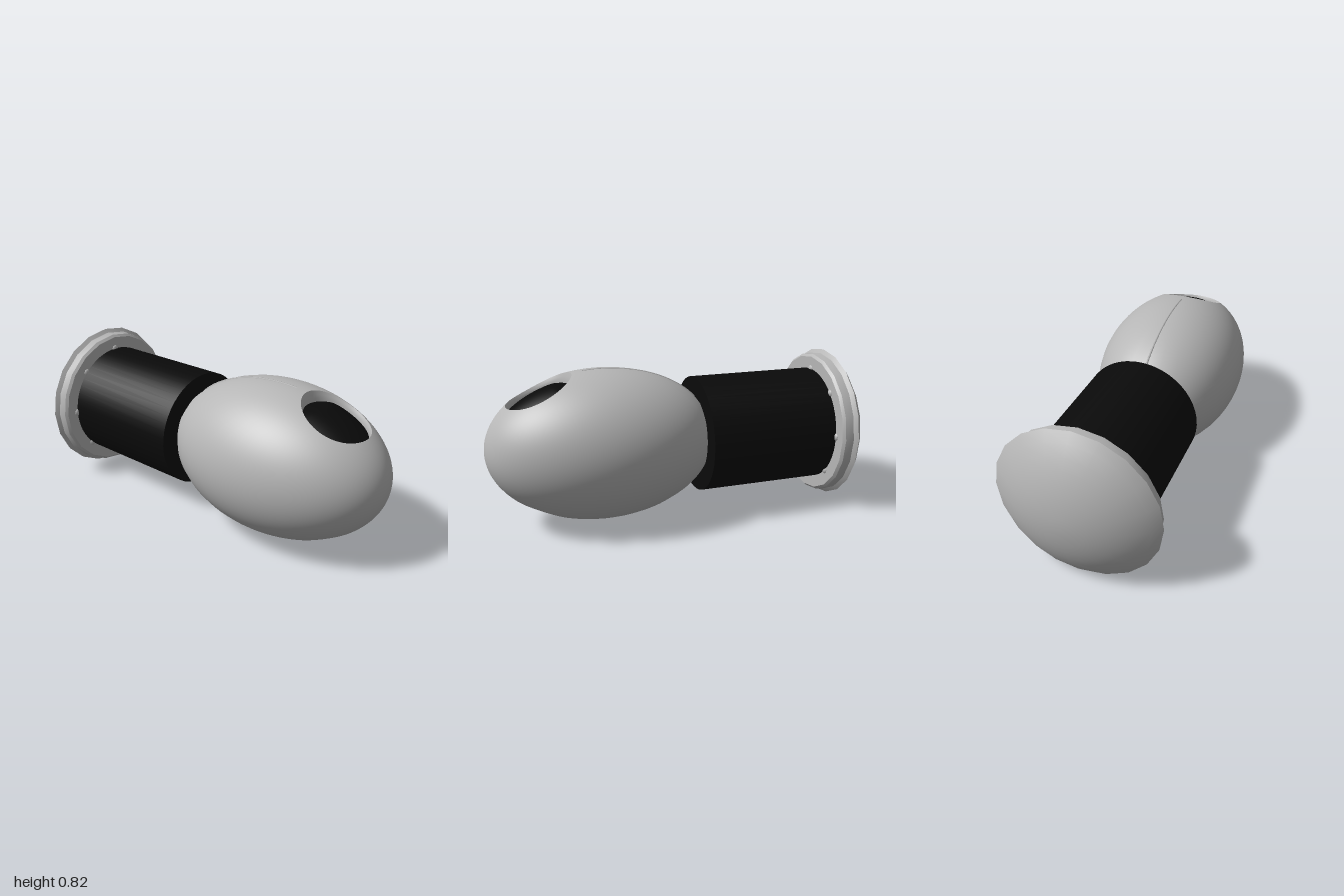
import * as THREE from 'three';
import { toCreasedNormals } from 'three/addons/utils/BufferGeometryUtils.js';

const AXIS_Y = 0.408;          // height of the long axis
const A = 0.386, B = 0.59;     // ellipsoid radii: across, along z
const CZ = 0.41;               // ellipsoid centre
const HOLE_Z = 0.72, HOLE_R = 0.163;

// Height of the ellipsoid above the axis
const heightAt = (x, z, a = A, b = B) =>
  a * Math.sqrt(Math.max(0, 1 - (x / a) ** 2 - ((z - CZ) / b) ** 2));

// Closed polar grid around the hole; point(t, sin, cos) gives [x, y, z]
function polarGrid(rings, segments, point, normal) {
  const pos = [], idx = [];
  for (let j = 0; j < segments; j++) {
    const ang = (j / segments) * Math.PI * 2;
    for (let i = 0; i <= rings; i++) pos.push(...point(i / rings, Math.sin(ang), Math.cos(ang)));
  }
  const n = rings + 1;
  for (let j = 0; j < segments; j++) {
    for (let i = 0; i < rings; i++) {
      const a = j * n + i, c = ((j + 1) % segments) * n + i;
      idx.push(a, a + 1, c, a + 1, c + 1, c);
    }
  }
  const geo = new THREE.BufferGeometry();
  geo.setAttribute('position', new THREE.Float32BufferAttribute(pos, 3));
  geo.setIndex(idx);
  geo.computeVertexNormals();
  if (normal) {
    const p = geo.attributes.position, v = new THREE.Vector3();
    for (let i = 0; i < p.count; i++) {
      v.set(...normal(p.getX(i), p.getY(i), p.getZ(i))).normalize();
      geo.attributes.normal.setXYZ(i, v.x, v.y, v.z);
    }
  }
  return geo;
}

export function createModel() {
  const grey = new THREE.MeshStandardMaterial({ color: 0xb6b6b6 });
  grey.name = 'light grey';
  const black = new THREE.MeshStandardMaterial({ color: 0x0a0a0a });
  black.name = 'black';

  const model = new THREE.Group();
  model.name = 'model';
  const body = new THREE.Group();
  body.position.y = AXIS_Y;
  model.add(body);
  body.name = 'body';
  const add = (parent, name, geo, mat) => {
    const mesh = new THREE.Mesh(geo, mat);
    mesh.name = name;
    parent.add(mesh);
    return mesh;
  };

  // Half ellipsoid, running from the round opening out to the equator
  const shellGeo = polarGrid(24, 60, (t, s, c) => {
    const d = HOLE_Z - CZ;
    const qa = (s / A) ** 2 + (c / B) ** 2, qb = (d * c) / B ** 2, qc = (d / B) ** 2 - 1;
    const edge = (-qb + Math.sqrt(qb * qb - qa * qc)) / qa;
    const r = HOLE_R + (edge - HOLE_R) * (1 - (1 - t) ** 2);
    const x = r * s, z = HOLE_Z + r * c;
    return [x, t === 1 ? 0 : heightAt(x, z), z];
  }, (x, y, z) => [x / A ** 2, y / A ** 2, (z - CZ) / B ** 2]);

  // Black window sunk into the opening
  const windowY = (x, z) => Math.min(heightAt(x, z, 0.352, 0.562), 0.317 - x * x);
  const windowGeo = polarGrid(8, 40, (t, s, c) => {
    const x = 0.158 * t * s, z = HOLE_Z + 0.158 * t * c;
    return [x, windowY(x, z), z];
  });

  // Flared wall between window and shell
  const wallGeo = polarGrid(3, 60, (t, s, c) => {
    const r = 0.152 + (HOLE_R - 0.152) * t * t;
    const x = r * s, z = HOLE_Z + r * c;
    const low = windowY(x, z) - 0.004;
    return [x, low + (heightAt(x, z) - low) * t, z];
  });

  // Thin seam bead along the back of the shell
  const seamPoints = [];
  for (let z = 0.5; z > -0.12; z -= 0.05) seamPoints.push(new THREE.Vector3(-0.005, heightAt(0, z) - 0.002, z));
  const seamGeo = new THREE.TubeGeometry(new THREE.CatmullRomCurve3(seamPoints), 40, 0.006, 6);

  // Upper and lower halves are the same, turned about the long axis
  ['upper', 'lower'].forEach((side, i) => {
    const half = new THREE.Group();
    half.name = side + 'Half';
    half.rotation.z = i * Math.PI;
    add(half, side + 'Shell', shellGeo, grey);
    add(half, side + 'Window', windowGeo, black);
    add(half, side + 'OpeningWall', wallGeo, grey);
    add(half, side + 'Seam', seamGeo, grey);
    body.add(half);
  });

  // Black barrel
  const barrel = add(model, 'barrel', new THREE.CylinderGeometry(0.305, 0.305, 0.69, 48), black);
  barrel.rotation.x = -Math.PI / 2;
  barrel.position.set(0, AXIS_Y, -0.435);

  // Domed end cap with a stepped rim
  const profile = [[0, 0.772], [0.372, 0.772], [0.385, 0.785], [0.388, 0.828], [0.408, 0.845]]
    .map(p => new THREE.Vector2(...p));
  const R = (0.408 ** 2 + 0.155 ** 2) / (2 * 0.155);
  const maxAng = Math.asin(0.408 / R);
  for (let i = 7; i >= 0; i--) {
    const a = (maxAng * i) / 8;
    profile.push(new THREE.Vector2(R * Math.sin(a), 1 - R + R * Math.cos(a)));
  }
  const cap = add(model, 'endCap', toCreasedNormals(new THREE.LatheGeometry(profile, 20), 0.4), grey);
  cap.rotation.x = -Math.PI / 2;
  cap.position.y = AXIS_Y;

  // Small studs where the barrel meets the cap
  const studGeo = new THREE.SphereGeometry(0.02, 10, 8);
  for (let i = 0; i < 8; i++) {
    const a = (i * Math.PI) / 4;
    const stud = add(model, 'stud', studGeo, grey);
    stud.scale.z = 0.6;
    stud.position.set(0.305 * Math.sin(a), AXIS_Y + 0.305 * Math.cos(a), -0.774);
  }
  return model;
}
